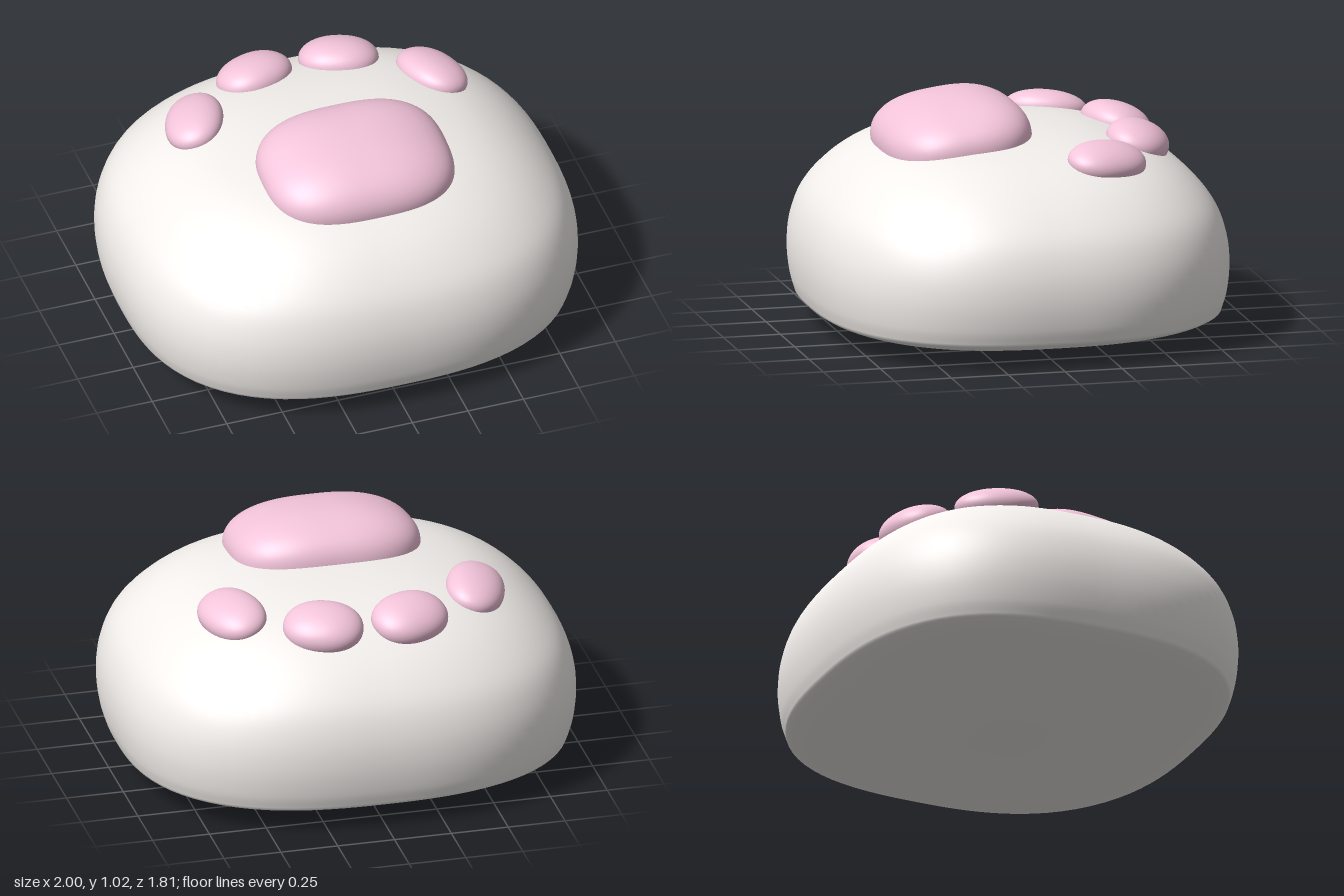
import * as THREE from 'three';
import { mergeVertices } from 'three/addons/utils/BufferGeometryUtils.js';

const fur = new THREE.MeshStandardMaterial({ color: 0xf3efec });
const pink = new THREE.MeshStandardMaterial({ color: 0xf3c4da });

// Weld the seams and rebuild smooth normals
function smooth(geometry) {
  geometry.deleteAttribute('uv');
  geometry.deleteAttribute('normal');
  const welded = mergeVertices(geometry, 1e-4);
  welded.computeVertexNormals();
  return welded;
}

// Move every vertex of a geometry by a rule
function reshape(geometry, rule) {
  const pos = geometry.attributes.position;
  const v = new THREE.Vector3();
  for (let i = 0; i < pos.count; i++) {
    rule(v.fromBufferAttribute(pos, i));
    pos.setXYZ(i, v.x, v.y, v.z);
  }
  return smooth(geometry);
}

// Length of (a, b) measured with a rounded-square norm
const norm = (a, b, n) => (Math.abs(a) ** n + Math.abs(b) ** n) ** (1 / n);

// Cushion: a sphere squared off in plan (n) and in section (m)
function cushion(rx, ry, rz, n, m) {
  const size = new THREE.Vector3(rx, ry, rz);
  return reshape(new THREE.IcosahedronGeometry(1, 16), (v) =>
    v.divideScalar(norm(norm(v.x, v.z, n), v.y, m)).multiply(size));
}

// Body: a lathed bun whose rings become rounded squares
function bodyGeometry() {
  const curve = (pts) =>
    new THREE.CatmullRomCurve3(pts.map(([r, y]) => new THREE.Vector3(r, y, 0)));
  const base = curve([[0, 0], [0.3, 0.004], [0.6, 0.026], [0.8, 0.057], [0.93, 0.094], [0.965, 0.112]]);
  const shell = curve([[0.965, 0.112], [0.986, 0.18], [1, 0.3], [0.988, 0.42], [0.945, 0.535], [0.87, 0.63],
    [0.75, 0.727], [0.6, 0.8], [0.4, 0.846], [0.2, 0.866], [0, 0.872]]);
  const profile = [...base.getPoints(20), ...shell.getPoints(60).slice(1)]
    .map((p) => new THREE.Vector2(Math.max(p.x, 0), p.y));
  return reshape(new THREE.LatheGeometry(profile, 96), (v) => {
    const r = Math.hypot(v.x, v.z);
    if (r < 1e-6) return;
    const k = r / norm(v.x, v.z, 2.6);
    v.x *= k;
    v.z *= k * 0.905;
  });
}

export function createModel() {
  const group = new THREE.Group();
  const add = (name, geometry, material) => {
    const mesh = new THREE.Mesh(geometry, material);
    mesh.name = name;
    group.add(mesh);
    return mesh;
  };

  add('pawBody', bodyGeometry(), fur);

  // Large pad, leaning towards the front
  const palm = add('palmPad', cushion(0.415, 0.185, 0.322, 2.8, 2.25), pink);
  palm.position.set(0, 0.83, 0.25);
  palm.rotation.x = 0.135;

  // Toe pads, each lying along the slope of the body
  const toes = [
    { name: 'InnerToe', size: [0.172, 0.09, 0.138], at: [0.19, 0.802, -0.52], up: [0.08, 1, -0.3], yaw: -0.35 },
    { name: 'OuterToe', size: [0.128, 0.08, 0.18], at: [0.535, 0.8, -0.3], up: [0.27, 1, -0.16], yaw: 0.33 },
  ];
  const yAxis = new THREE.Vector3(0, 1, 0);
  for (const { name, size, at, up, yaw } of toes) {
    const geometry = cushion(...size, 2.15, 2.1);
    for (const side of [1, -1]) {
      const toe = add((side > 0 ? 'left' : 'right') + name, geometry, pink);
      toe.position.set(side * at[0], at[1], at[2]);
      const normal = new THREE.Vector3(side * up[0], up[1], up[2]).normalize();
      toe.quaternion.setFromUnitVectors(yAxis, normal)
        .multiply(new THREE.Quaternion().setFromAxisAngle(yAxis, side * yaw));
    }
  }
  return group;
}
